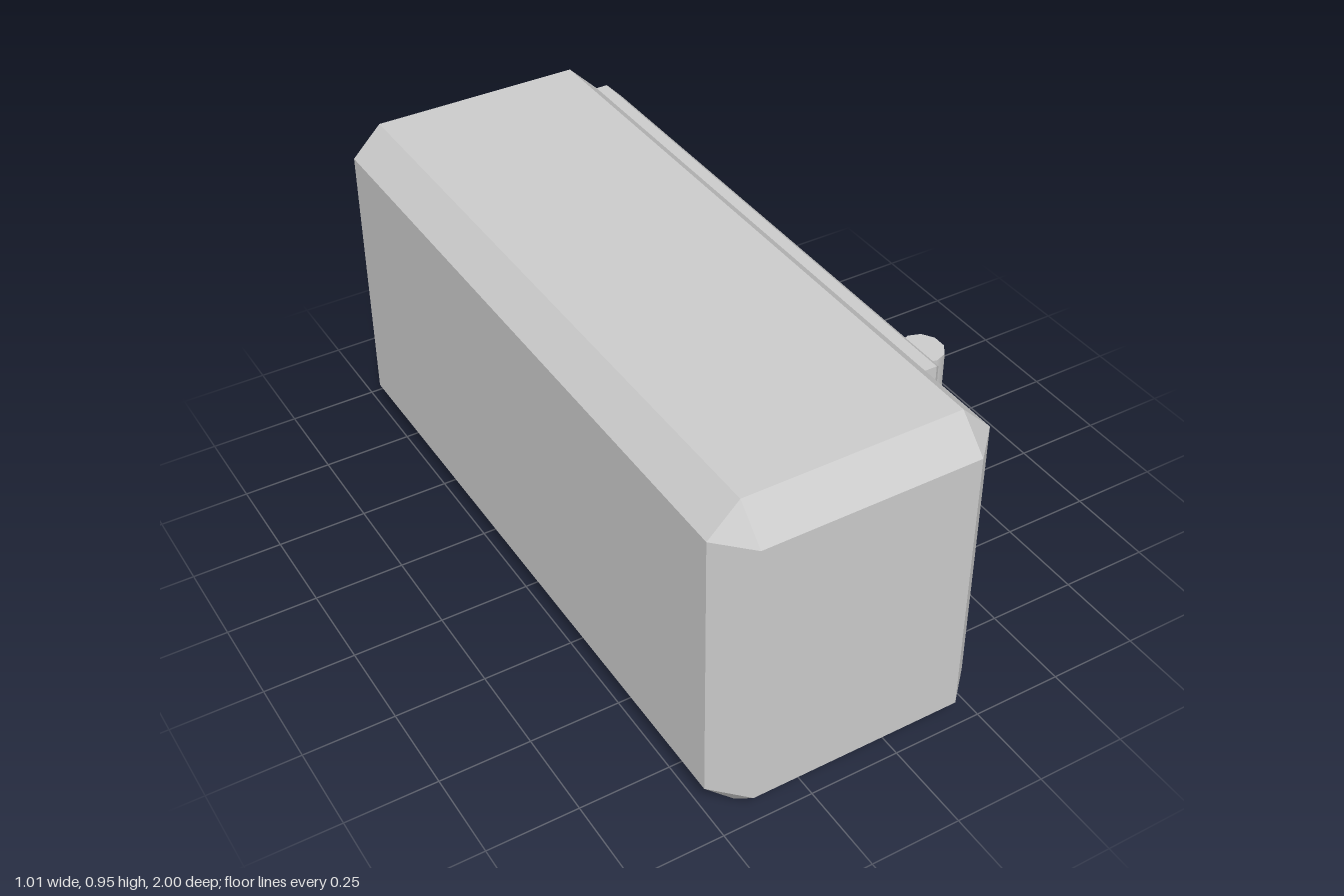
import * as THREE from 'three';
import { ConvexGeometry } from 'three/addons/geometries/ConvexGeometry.js';

const grey = new THREE.MeshStandardMaterial({ color: 0xcccccc });

function add(group, name, geometry, x = 0, y = 0, z = 0) {
  const mesh = new THREE.Mesh(geometry, grey);
  mesh.name = name;
  mesh.position.set(x, y, z);
  group.add(mesh);
  return mesh;
}

// Box with every edge cut at 45 degrees and triangular corners
function chamferedBox(w, h, d, c) {
  const points = [];
  for (const sx of [-1, 1]) for (const sy of [-1, 1]) for (const sz of [-1, 1]) {
    for (let axis = 0; axis < 3; axis++) {
      const cut = [c, c, c];
      cut[axis] = 0;
      points.push(new THREE.Vector3(sx * (w / 2 - cut[0]), sy * (h / 2 - cut[1]), sz * (d / 2 - cut[2])));
    }
  }
  return new ConvexGeometry(points);
}

// Slab whose outer (+x) face is bevelled all round
function bevelledPanel(t, h, d, b) {
  const points = [];
  for (const [x, inset] of [[0, 0], [t - b, 0], [t, b]]) {
    for (const sy of [-1, 1]) for (const sz of [-1, 1]) {
      points.push(new THREE.Vector3(x, sy * (h / 2 - inset), sz * (d / 2 - inset)));
    }
  }
  return new ConvexGeometry(points);
}

export function createModel() {
  const model = new THREE.Group();
  model.name = 'cabinet';

  add(model, 'body', chamferedBox(0.759, 0.946, 2, 0.084), -0.1235, 0.473, 0);
  add(model, 'door', bevelledPanel(0.067, 0.776, 1.585, 0.032), 0.256, 0.473, -0.124);

  // Handle bar standing off the door on two pegs
  const handle = new THREE.Group();
  handle.name = 'handle';
  handle.position.z = 0.417;
  model.add(handle);
  const bar = add(handle, 'handleBar', new THREE.CylinderGeometry(0.062, 0.062, 0.54, 10), 0.449, 0.426, 0);
  bar.scale.x = 0.915;
  for (const y of [0.219, 0.638]) {
    const peg = add(handle, 'handlePeg', new THREE.CylinderGeometry(0.024, 0.024, 0.13, 10), 0.375, y, 0);
    peg.rotation.z = -Math.PI / 2;
  }
  return model;
}
